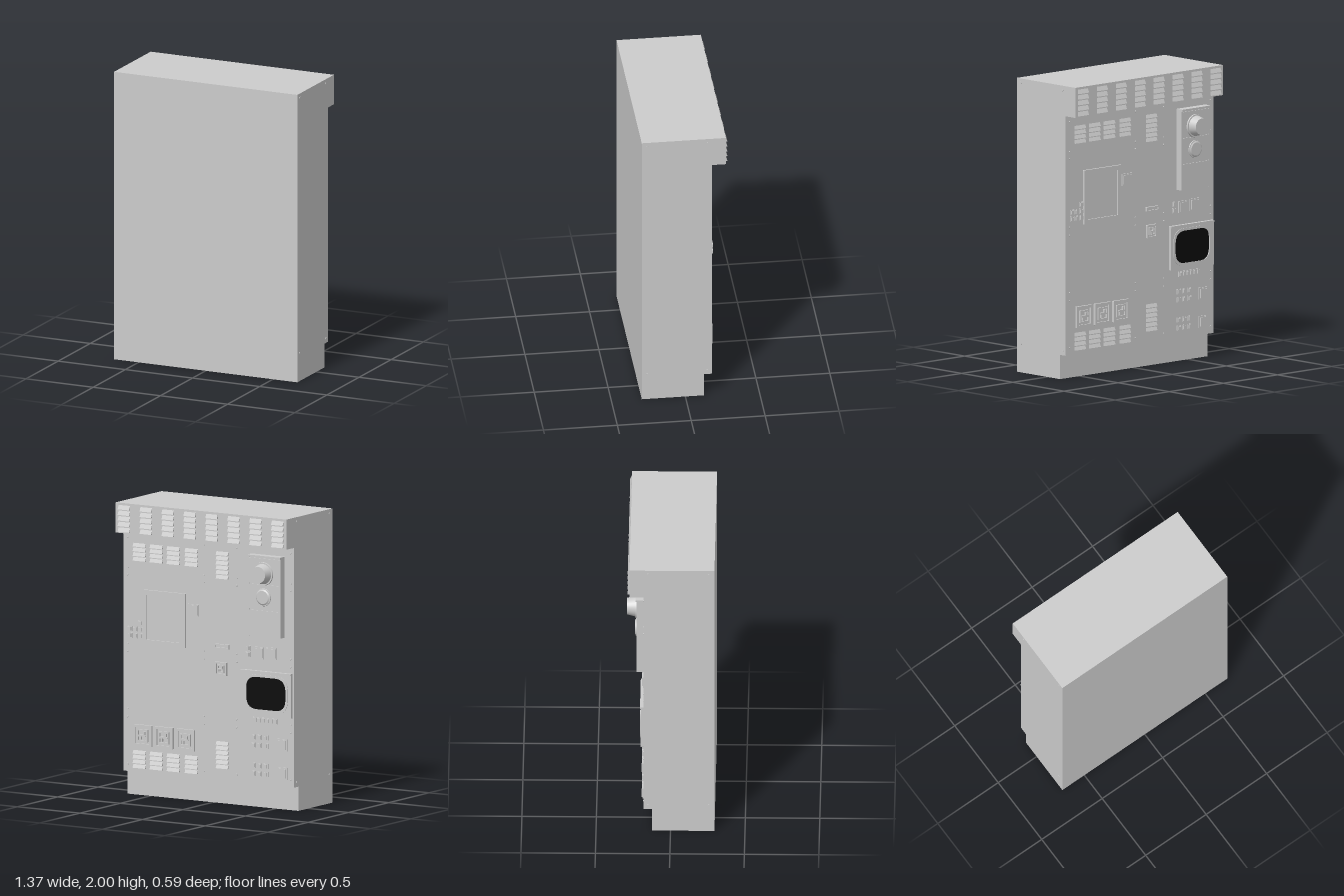
import * as THREE from 'three';

const grey = new THREE.MeshStandardMaterial({ color: 0xcccccc });
const black = new THREE.MeshStandardMaterial({ color: 0x0a0a0a });
const W = 1.364;

export function createModel() {
  const root = new THREE.Group();
  root.name = 'cabinet';

  // Cabinet body: side profile with hood and toe recess, swept across the width
  const profile = new THREE.Shape([[-0.295, 0], [0.125, 0], [0.125, 0.165], [0.18, 0.165], [0.18, 1.795],
    [0.275, 1.795], [0.275, 2], [-0.295, 2]].map(p => new THREE.Vector2(...p)));
  const bodyGeo = new THREE.ExtrudeGeometry(profile, { depth: W, bevelEnabled: false });
  bodyGeo.translate(0, 0, -W / 2).rotateY(Math.PI / 2);
  const body = new THREE.Mesh(bodyGeo, grey);
  body.name = 'body';
  root.add(body);

  // Control face: local +z points out of the back; helpers take model x and flip it
  const face = new THREE.Group();
  face.name = 'controlFace';
  face.rotation.y = Math.PI;
  face.position.z = -0.18;
  root.add(face);

  const put = (name, geo, x, y, z = 0, mat = grey) => {
    const m = new THREE.Mesh(geo, mat);
    m.name = name;
    m.position.set(-x, y, z);
    face.add(m);
    return m;
  };
  const box = (name, x, y, w, h, d, z = 0) => put(name, new THREE.BoxGeometry(w, h, d), x, y, z + d / 2);
  const disc = (name, x, y, r0, r1, d, z = 0, n = 32) =>
    put(name, new THREE.CylinderGeometry(r1, r0, d, n).rotateX(Math.PI / 2), x, y, z + d / 2);

  const roundRect = (target, w, h, r) => {
    const a = w / 2, b = h / 2;
    target.moveTo(-a + r, -b);
    target.lineTo(a - r, -b).quadraticCurveTo(a, -b, a, -b + r);
    target.lineTo(a, b - r).quadraticCurveTo(a, b, a - r, b);
    target.lineTo(-a + r, b).quadraticCurveTo(-a, b, -a, b - r);
    target.lineTo(-a, -b + r).quadraticCurveTo(-a, -b, -a + r, -b);
    return target;
  };
  const frame = (name, x, y, w, h, border, d, z = 0, r = 0.002) => {
    const s = roundRect(new THREE.Shape(), w, h, 0.002);
    s.holes.push(roundRect(new THREE.Path(), w - 2 * border, h - 2 * border, r));
    return put(name, new THREE.ExtrudeGeometry(s, { depth: d, bevelEnabled: false, curveSegments: 10 }), x, y, z);
  };

  // Louvre slats: wedges, deepest at their lower edge
  const louvres = (x, top, count, pitch, w, d, z = 0) => {
    const h = pitch * 0.75;
    const s = new THREE.Shape([new THREE.Vector2(0, 0), new THREE.Vector2(0, h), new THREE.Vector2(-d, 0)]);
    const geo = new THREE.ExtrudeGeometry(s, { depth: w, bevelEnabled: false });
    geo.translate(0, 0, -w / 2).rotateY(Math.PI / 2);
    for (let i = 0; i < count; i++) put('louvre', geo, x, top - i * pitch - h, z);
  };
  for (let i = 0; i < 8; i++) louvres(-0.613 + i * 0.175, 1.985, 5, 0.038, 0.092, 0.013, 0.095);
  for (const x of [0.551, 0.416, 0.28, 0.136]) {
    louvres(x, 1.72, 4, 0.032, 0.1, 0.011);
    louvres(x, 0.312, 4, 0.032, 0.1, 0.011);
  }
  louvres(-0.11, 1.72, 6, 0.032, 0.095, 0.011);
  louvres(-0.11, 0.43, 6, 0.032, 0.095, 0.011);

  // Large framed window and framed push plates
  frame('windowFrame', 0.35, 1.225, 0.34, 0.37, 0.032, 0.015);
  box('windowPane', 0.35, 1.225, 0.28, 0.31, 0.004);
  const plate = (x, y, w, h) => {
    box('pushPlateBase', x, y, w, h, 0.008);
    box('pushPlate', x, y, w * 0.78, h * 0.78, 0.014);
  };
  plate(0.12, 1.303, 0.088, 0.08);
  plate(-0.4, 1.058, 0.085, 0.08);
  plate(-0.504, 1.062, 0.085, 0.08);
  plate(-0.587, 0.448, 0.085, 0.08);
  plate(-0.587, 0.255, 0.085, 0.08);

  // Small button clusters
  const button = (x, y) => {
    box('buttonBase', x, y, 0.034, 0.034, 0.006);
    box('button', x, y, 0.024, 0.024, 0.014);
  };
  for (const x of [0.626, 0.585, 0.543]) for (const y of [1.09, 1.135]) button(x, y);
  button(0.543, 1.18);
  for (const y of [1.083, 1.04]) button(-0.316, y);
  for (const x of [-0.361, -0.41, -0.459]) for (const y of [0.484, 0.429, 0.291, 0.236]) button(x, y);

  // Three square selector units and one smaller one
  const selector = (x, y, s) => {
    frame('selectorFrame', x, y, s, s, s * 0.12, 0.016);
    box('selectorBase', x, y, s * 0.8, s * 0.8, 0.006);
    frame('selectorInnerFrame', x, y, s * 0.58, s * 0.58, s * 0.07, 0.017);
    box('selectorBar', x, y, s * 0.42, s * 0.08, 0.02);
    for (const k of [-1, 1]) box('selectorTab', x + k * s * 0.1, y - k * s * 0.09, s * 0.08, s * 0.2, 0.02);
  };
  for (const x of [0.52, 0.35, 0.18]) selector(x, 0.417, 0.145);
  selector(-0.105, 0.925, 0.09);

  // Handle slot
  frame('slotFrame', -0.112, 1.077, 0.112, 0.03, 0.007, 0.014);
  box('slotBar', -0.112, 1.077, 0.1, 0.014, 0.007);

  // Dial housing with three bays, a tapered knob and a low dial
  const hx = -0.475;
  box('dialHousing', hx, 1.453, 0.263, 0.55, 0.044);
  box('dialHousingLip', hx, 1.722, 0.263, 0.014, 0.057);
  for (const k of [-1, 1]) box('dialHousingEdge', hx + k * 0.127, 1.453, 0.01, 0.55, 0.05);
  for (const [y, h] of [[1.625, 0.17], [1.448, 0.168], [1.268, 0.174]])
    box('dialBay', hx, y, 0.244, h, 0.007, 0.043);
  disc('knobCollar', -0.468, 1.607, 0.08, 0.078, 0.012, 0.048);
  disc('knob', -0.468, 1.607, 0.07, 0.056, 0.058, 0.057);
  disc('lowDialRim', -0.468, 1.448, 0.062, 0.06, 0.008, 0.048);
  disc('lowDial', -0.468, 1.448, 0.056, 0.045, 0.007, 0.055);

  // Monitor: bezel with rounded opening and dark screen
  const mx = -0.47, my = 0.787;
  frame('monitorBezel', mx, my, 0.398, 0.302, 0.036, 0.02, 0, 0.085);
  const lip = roundRect(new THREE.Shape(), 0.35, 0.254, 0.095);
  lip.holes.push(roundRect(new THREE.Path(), 0.316, 0.22, 0.085));
  put('monitorLip', new THREE.ExtrudeGeometry(lip, { depth: 0.004, bevelEnabled: false }), mx, my, 0.02);
  put('screen', new THREE.ShapeGeometry(roundRect(new THREE.Shape(), 0.33, 0.234, 0.085), 10), mx, my, 0.009, black);
  box('monitorTopTrim', mx, 0.932, 0.398, 0.012, 0.025);

  // Key strip below the monitor
  box('keyStrip', -0.456, 0.602, 0.196, 0.036, 0.008);
  for (let i = 0; i < 6; i++) box('key', -0.376 - i * 0.032, 0.602, 0.024, 0.026, 0.017);

  // Screws on the control face
  for (const x of [0.645, 0.038, -0.225, -0.655])
    for (const y of [1.755, 1.55, 1.5, 1.035, 0.98, 0.59, 0.535, 0.215])
      disc('faceScrew', x, y, 0.006, 0.005, 0.005, 0, 8);

  // Screws on both sides
  const sideScrew = new THREE.CylinderGeometry(0.008, 0.008, 0.008, 10).rotateZ(Math.PI / 2);
  for (const x of [-W / 2, W / 2]) for (const y of [0.195, 1.97]) for (const z of [-0.15, 0.257]) {
    const m = new THREE.Mesh(sideScrew, grey);
    m.name = 'sideScrew';
    m.position.set(x, y, z);
    root.add(m);
  }
  return root;
}
